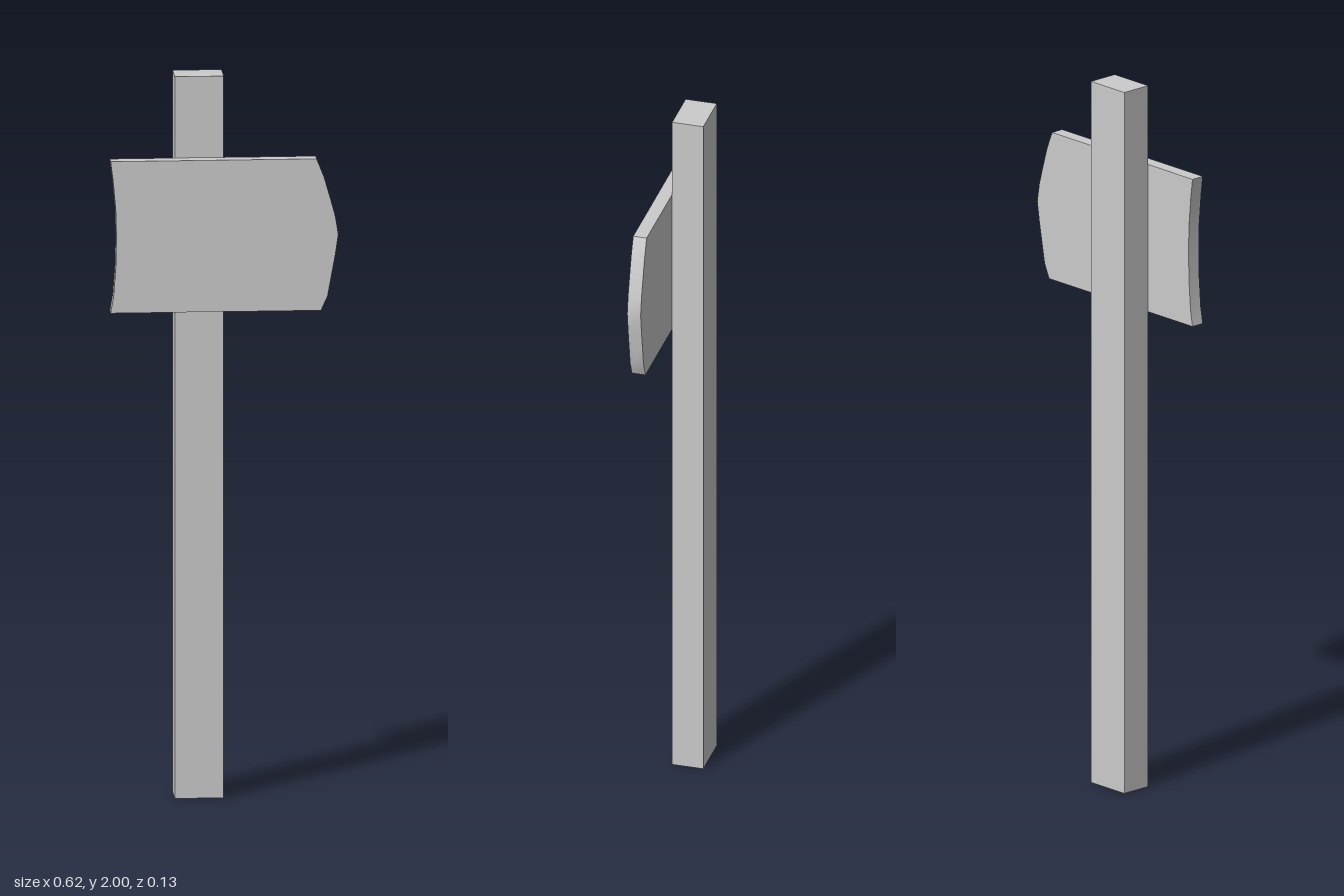
import * as THREE from 'three';
import { toCreasedNormals } from 'three/addons/utils/BufferGeometryUtils.js';

const material = new THREE.MeshStandardMaterial({ color: 0xcccccc, side: THREE.DoubleSide });

// Square-cut handle, hollow and open at the bottom
function makeHandle() {
  const geometry = new THREE.BoxGeometry(0.133, 2, 0.088);
  const index = Array.from(geometry.index.array);
  index.splice(18, 6); // drop the bottom face
  geometry.setIndex(index);
  geometry.clearGroups();
  const handle = new THREE.Mesh(geometry, material);
  handle.name = 'handle';
  handle.position.set(-0.0665, 1, -0.02);
  return handle;
}

// Flat axe head: bulging cutting edge on +x, slightly hollow back edge on -x
function makeHead() {
  const outline = [
    [-0.31, 1.355], [0.262, 1.355],
    [0.28, 1.395], [0.29, 1.45], [0.301, 1.51], [0.309, 1.565],
    [0.301, 1.615], [0.286, 1.67], [0.27, 1.725], [0.25, 1.775],
    [-0.31, 1.775],
    [-0.303, 1.72], [-0.296, 1.64], [-0.294, 1.565], [-0.296, 1.48], [-0.302, 1.40],
  ].map(([x, y]) => new THREE.Vector2(x, y));
  const geometry = new THREE.ExtrudeGeometry(new THREE.Shape(outline), { depth: 0.038, bevelEnabled: false });
  const head = new THREE.Mesh(toCreasedNormals(geometry, 0.4), material);
  head.name = 'axeHead';
  head.position.z = 0.024;
  return head;
}

export function createModel() {
  const axe = new THREE.Group();
  axe.name = 'axe';
  axe.add(makeHandle(), makeHead());
  return axe;
}
